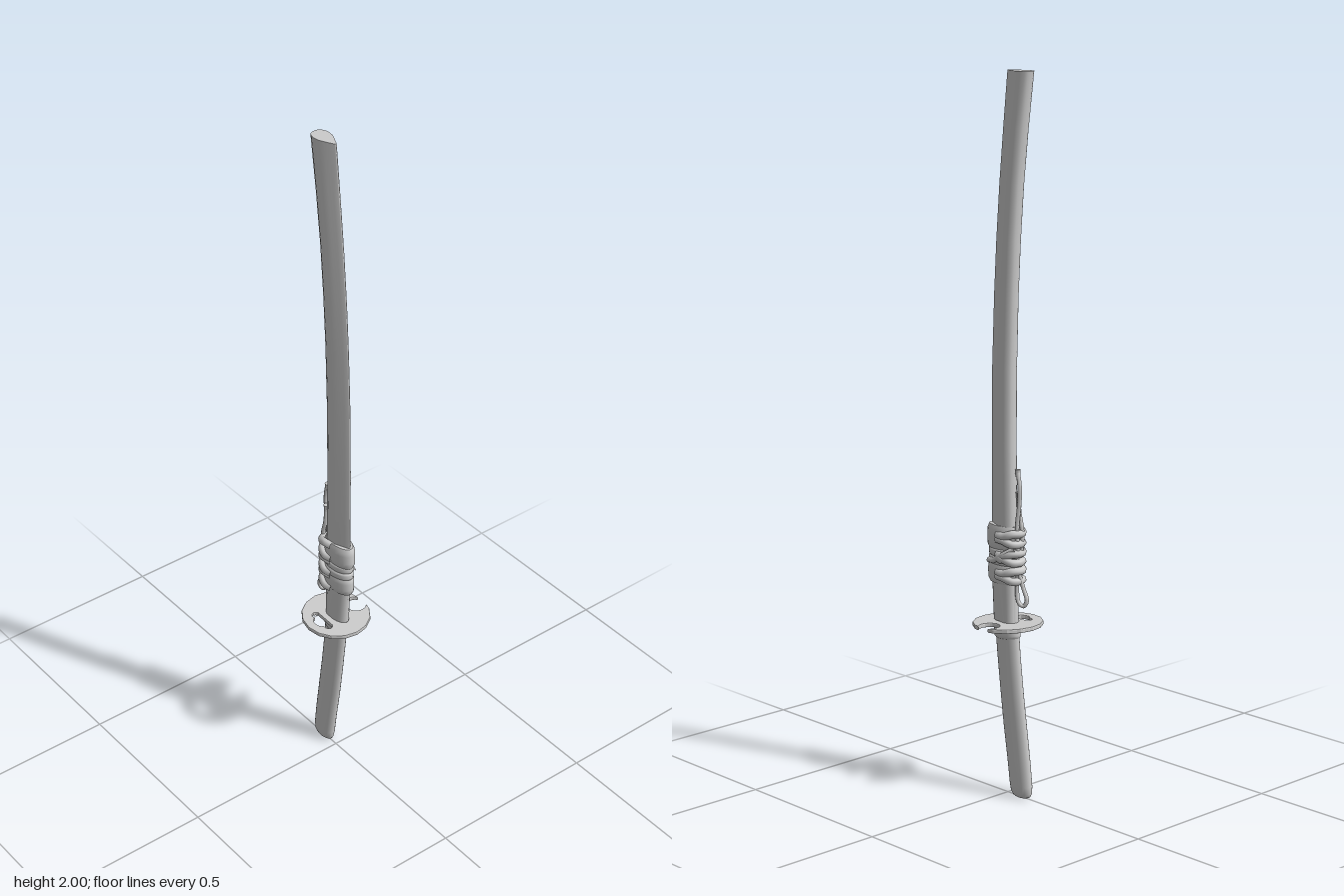
import * as THREE from 'three';

const grey = new THREE.MeshStandardMaterial({ color: 0xcccccc });

// Unit cross-sections: x = half width (-1..1), z = -1 back .. 1 front
const oval = (n = 24) => Array.from({ length: n }, (_, i) => {
  const a = (i / n) * Math.PI * 2;
  return [Math.sin(a), Math.cos(a)];
});
const half = [[0.13, 0.97], [0.36, 0.7], [0.68, 0.36], [0.93, 0.03], [1, -0.3], [0.96, -0.58], [0.72, -0.85], [0.38, -0.97]];
const teardrop = [[0, 1], ...half, [0, -1], ...half.slice().reverse().map(([x, z]) => [-x, z])];

// Skin a section through stations [y, zFront, zBack, halfWidth], with flat end caps
function loft(section, stations) {
  const pos = [], idx = [], n = section.length;
  const ring = ([y, f, b, w]) => section.forEach(([x, z]) => pos.push(x * w, y, (f + b) / 2 + (z * (f - b)) / 2));
  stations.forEach(ring);
  for (let s = 0; s < stations.length - 1; s++) {
    for (let i = 0; i < n; i++) {
      const a = s * n + i, b = s * n + ((i + 1) % n);
      idx.push(a, b, b + n, a, b + n, a + n);
    }
  }
  [stations[0], stations[stations.length - 1]].forEach((st, end) => {
    const base = pos.length / 3;
    ring(st);
    pos.push(0, st[0], (st[1] + st[2]) / 2);
    for (let i = 0; i < n; i++) {
      const a = base + i, b = base + ((i + 1) % n);
      idx.push(base + n, end ? a : b, end ? b : a);
    }
  });
  const g = new THREE.BufferGeometry();
  g.setAttribute('position', new THREE.Float32BufferAttribute(pos, 3));
  g.setIndex(idx);
  g.computeVertexNormals();
  return g;
}

// Rounded band standing proud around the scabbard
function band(y0, y1, front, back, width, bulge = 0.006) {
  const st = [];
  for (let i = 0; i <= 6; i++) {
    const t = i / 6, d = bulge * (1 - Math.sqrt(Math.max(0, 1 - Math.pow(2 * t - 1, 4))));
    st.push([y0 + (y1 - y0) * t, front - d, back + d, width - d]);
  }
  return loft(oval(), st);
}

function cord(points, radius, closed = false) {
  const curve = new THREE.CatmullRomCurve3(points.map(p => new THREE.Vector3(...p)), closed);
  return new THREE.TubeGeometry(curve, 40, radius, 8, closed);
}

export function createModel() {
  const model = new THREE.Group();
  const add = (name, geometry, parent = model) => {
    const m = new THREE.Mesh(geometry, grey);
    m.name = name;
    parent.add(m);
    return m;
  };

  // Curved scabbard with its open-end mouth at the guard
  add('scabbard', loft(teardrop, [
    [0.495, 0.049, -0.033, 0.0215], [0.6, 0.056, -0.03, 0.022], [0.8, 0.062, -0.026, 0.0225],
    [1.0, 0.062, -0.023, 0.023], [1.2, 0.06, -0.024, 0.023], [1.4, 0.052, -0.03, 0.023],
    [1.55, 0.043, -0.038, 0.0235], [1.7, 0.031, -0.05, 0.0235], [1.85, 0.016, -0.067, 0.024], [2.0, 0, -0.088, 0.024],
  ]));
  add('scabbardMouth', loft(oval(), [[0.497, 0.05, -0.034, 0.023], [0.59, 0.055, -0.031, 0.023], [0.61, 0.056, -0.03, 0.022]]));

  // Handle bending backwards, with a rounded pommel
  add('handle', loft(oval(), [
    [0, -0.03, -0.075, 0.01], [0.005, -0.022, -0.086, 0.015], [0.015, -0.017, -0.091, 0.019],
    [0.035, -0.013, -0.092, 0.021], [0.1, -0.004, -0.085, 0.021], [0.2, 0.012, -0.071, 0.021],
    [0.3, 0.025, -0.057, 0.021], [0.4, 0.037, -0.045, 0.021], [0.485, 0.045, -0.037, 0.022],
  ]));
  const collar = add('handleCollar', band(-0.018, 0.018, 0.045, -0.045, 0.026));
  collar.position.set(0, 0.465, 0.003);
  collar.rotation.x = 0.06;

  // Sixteen-sided guard with a round bite and a three-lobed slot
  const outline = new THREE.Shape();
  outline.moveTo(0.093, 0.021);
  for (let i = 1; i < 16; i++) {
    const a = (i / 16) * Math.PI * 2;
    outline.lineTo(Math.cos(a) * 0.097, Math.sin(a) * 0.097);
  }
  for (let i = 0; i <= 20; i++) {
    const a = -0.72 - (i / 20) * (Math.PI * 2 - 1.44);
    outline.lineTo(0.071 + Math.cos(a) * 0.03, Math.sin(a) * 0.03);
  }
  const slotSide = [[-0.038, 0.033], [-0.043, 0.039], [-0.05, 0.041], [-0.057, 0.038], [-0.061, 0.031], [-0.06, 0.022], [-0.067, 0.018], [-0.073, 0.008]];
  outline.holes.push(new THREE.Path([...slotSide, ...slotSide.slice().reverse().map(([x, y]) => [x, -y])]
    .map(p => new THREE.Vector2(...p))));
  const guardGeo = new THREE.ExtrudeGeometry(outline, { depth: 0.007, bevelThickness: 0.002, bevelSize: 0.001, bevelSegments: 1 });
  guardGeo.translate(0, 0, -0.0035).rotateX(-Math.PI / 2);
  const guard = add('guard', guardGeo);
  guard.position.y = 0.49;
  guard.rotation.x = 0.035;

  // Cord wrapping: two broad bands with thinner turns between them
  const wrap = new THREE.Group();
  wrap.name = 'cordWrap';
  model.add(wrap);
  add('upperBand', band(0.697, 0.767, 0.073, -0.04, 0.031), wrap);
  add('lowerBand', band(0.604, 0.664, 0.07, -0.042, 0.031), wrap);
  add('middleTurn', band(0.655, 0.682, 0.067, -0.04, 0.031), wrap);
  add('middleTurn', band(0.678, 0.704, 0.067, -0.04, 0.03), wrap);

  // Bunched cords crossing over the back edge
  [0.618, 0.645, 0.67, 0.695, 0.722, 0.75].forEach((y, i) => {
    const s = i % 2 ? 1 : -1, tilt = 0.008 * s;
    add('backCord', cord([
      [0.025, y - tilt, 0.015], [0.029, y - tilt, -0.012], [0.02, y, -0.036],
      [0, y, -0.045], [-0.02, y, -0.036], [-0.029, y + tilt, -0.012], [-0.025, y + tilt, 0.015],
    ], 0.0115), wrap);
  });
  // Diagonal cord and side knot
  add('diagonalCord', cord([[0.024, 0.665, 0.05], [0.033, 0.672, 0.02], [0.033, 0.69, -0.01], [0.016, 0.71, -0.042]], 0.008), wrap);
  const knot = add('sideKnot', new THREE.SphereGeometry(0.012, 12, 8), wrap);
  knot.scale.set(0.9, 1.2, 1.3);
  knot.position.set(0.032, 0.68, -0.002);

  // Hanging loop and upright cord ends behind the scabbard
  add('hangingLoop', cord([
    [0.004, 0.64, -0.045], [0.006, 0.59, -0.042], [0.006, 0.558, -0.05],
    [0, 0.55, -0.061], [-0.005, 0.565, -0.069], [-0.004, 0.6, -0.056],
  ], 0.006, true), wrap);
  const tails = [
    [[0.006, 0.7, -0.045], [0.006, 0.77, -0.042], [0.004, 0.83, -0.048], [0.004, 0.88, -0.05], [0.002, 0.928, -0.04]],
    [[-0.008, 0.7, -0.045], [-0.009, 0.76, -0.046], [-0.008, 0.81, -0.036], [-0.007, 0.862, -0.034]],
  ];
  tails.forEach(points => {
    add('cordEnd', cord(points, 0.006), wrap);
    const [x, y, z] = points[points.length - 1];
    const tip = add('cordTip', new THREE.CylinderGeometry(0.008, 0.006, 0.02, 10), wrap);
    tip.position.set(x, y - 0.008, z);
  });
  return model;
}
